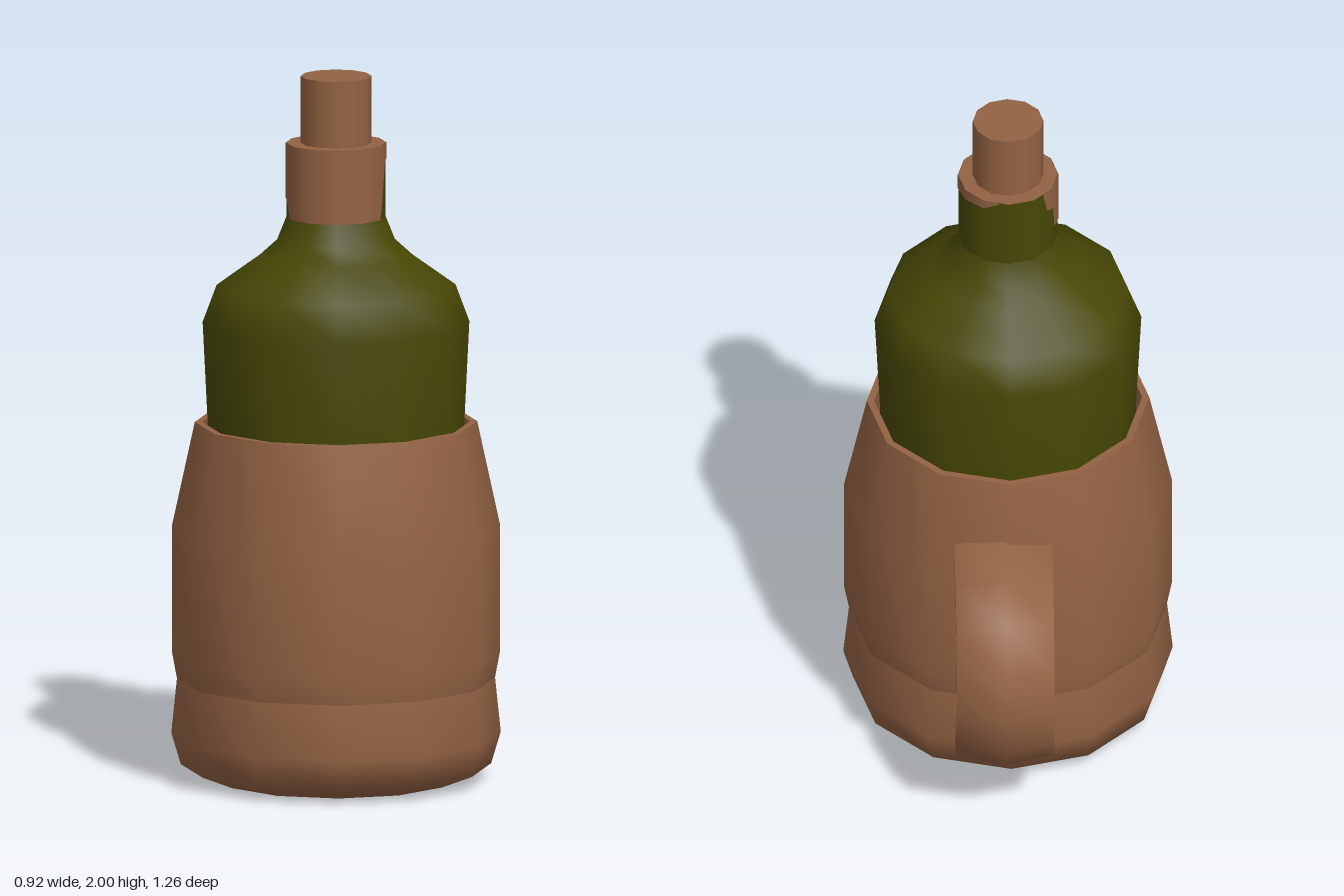
import * as THREE from 'three';
import { mergeGeometries } from 'three/addons/utils/BufferGeometryUtils.js';

const SIDES = 12;
const AXIS_Z = 0.165;

const clay = new THREE.MeshStandardMaterial({ color: 0x936243 });
clay.name = 'clay brown';
const glass = new THREE.MeshStandardMaterial({ color: 0x474705 });
glass.name = 'olive glass';
const paper = new THREE.MeshStandardMaterial({ color: 0x936243, side: THREE.DoubleSide });
paper.name = 'neck wrap brown';

// Turned shape; each profile run is smooth, with a hard edge between runs
function turned(...runs) {
  return mergeGeometries(runs.map((run) =>
    new THREE.LatheGeometry(run.map(([r, y]) => new THREE.Vector2(r, y)), SIDES)));
}

// Wrap lying just outside the 12-sided neck, with a ragged lower edge
function neckWrap(edge, radius, top) {
  const pos = [], nor = [], idx = [];
  const first = edge[0][0], last = edge[edge.length - 1][0];
  let k = 0;
  for (let a = first; a <= last; a += 2) {
    while (k < edge.length - 2 && a > edge[k + 1][0]) k++;
    const [a0, y0] = edge[k], [a1, y1] = edge[k + 1];
    const low = y0 + (y1 - y0) * (a - a0) / (a1 - a0);
    const rad = THREE.MathUtils.degToRad(a);
    const off = THREE.MathUtils.degToRad(((a % 30) + 30) % 30 - 15);
    const r = radius * Math.cos(Math.PI / SIDES) / Math.cos(off);
    for (const y of [low, top]) {
      pos.push(r * Math.sin(rad), y, r * Math.cos(rad));
      nor.push(Math.sin(rad), 0, Math.cos(rad));
    }
    const n = pos.length / 3;
    if (n > 2) idx.push(n - 4, n - 2, n - 3, n - 2, n - 1, n - 3);
  }
  const g = new THREE.BufferGeometry();
  g.setAttribute('position', new THREE.Float32BufferAttribute(pos, 3));
  g.setAttribute('normal', new THREE.Float32BufferAttribute(nor, 3));
  g.setIndex(idx);
  return g;
}

// Broad hexagonal section swept along an arc behind the mug
function handleGeometry() {
  const pos = [], idx = [];
  const rings = 9, n = 6;
  for (let i = 0; i < rings; i++) {
    const a = THREE.MathUtils.degToRad(92 - 23.5 * i);
    // The two ends reach a little into the mug wall
    const z0 = i === 0 || i === rings - 1 ? -0.25 : -0.285;
    for (let j = 0; j < n; j++) {
      const t = j / n * Math.PI * 2;
      const r = 0.285 + 0.06 * Math.cos(t);
      pos.push(0.022 + 0.158 * Math.sin(t), 0.497 + r * Math.sin(a), z0 - r * Math.cos(a));
    }
  }
  for (let i = 0; i < rings - 1; i++) {
    for (let j = 0; j < n; j++) {
      const a = i * n + j, b = i * n + (j + 1) % n, c = a + n, d = b + n;
      idx.push(a, b, c, b, d, c);
    }
  }
  // End caps on their own vertices
  for (const [ring, flip] of [[0, true], [rings - 1, false]]) {
    const base = pos.length / 3;
    for (let j = 0; j < n * 3; j++) pos.push(pos[ring * n * 3 + j]);
    for (let j = 1; j < n - 1; j++) {
      idx.push(base, base + (flip ? j + 1 : j), base + (flip ? j : j + 1));
    }
  }
  const g = new THREE.BufferGeometry();
  g.setAttribute('position', new THREE.Float32BufferAttribute(pos, 3));
  g.setIndex(idx);
  g.computeVertexNormals();
  return g;
}

export function createModel() {
  const model = new THREE.Group();
  model.name = 'bottleInMug';
  const add = (name, geometry, material, z = 0) => {
    const mesh = new THREE.Mesh(geometry, material);
    mesh.name = name;
    mesh.position.z = z;
    model.add(mesh);
  };

  // Mug with waisted foot, tapered top and thin rim
  add('mug', turned(
    [[0, 0.002], [0.34, 0.002], [0.435, 0.04], [0.462, 0.13], [0.446, 0.285]],
    [[0.446, 0.285], [0.46, 0.36], [0.46, 0.72], [0.396, 1.015]],
    [[0.396, 1.015], [0.376, 1.015]],
    [[0.376, 1.015], [0.37, 0.8]],
  ), clay, AXIS_Z);
  add('handle', handleGeometry(), clay);

  // Bottle standing in the mug
  add('bottle', turned(
    [[0, 0.06], [0.33, 0.06]],
    [[0.33, 0.06], [0.36, 1.015], [0.374, 1.3], [0.335, 1.405], [0.215, 1.49], [0.165, 1.535], [0.139, 1.6]],
    [[0.139, 1.6], [0.139, 1.81]],
  ), glass, AXIS_Z);
  add('bottleLip', turned([[0.14, 1.81], [0, 1.81]]), clay, AXIS_Z);

  // Ragged wrap: angle from the front in degrees, height of lower edge
  const edge = [[-134, 1.8], [-128, 1.745], [-114, 1.735], [-110, 1.66], [-86, 1.65], [-74, 1.6],
    [62, 1.6], [72, 1.65], [84, 1.76], [112, 1.775], [150, 1.785], [168, 1.805]];
  add('neckWrap', neckWrap(edge, 0.141, 1.81), paper, AXIS_Z);

  // Stopper
  const cork = new THREE.CylinderGeometry(0.099, 0.099, 0.2, SIDES);
  cork.translate(0, 1.9, 0);
  add('stopper', cork, clay, AXIS_Z);

  // Green patches on the underside
  const patches = [
    [[-0.08, 0.29], [0.11, 0.29], [0.08, 0.21], [0.03, 0.1], [-0.04, 0.19]],
    [[-0.29, 0.08], [-0.18, 0.03], [-0.28, 0]],
    [[0.15, 0.06], [0.21, 0.15], [0.28, 0.13], [0.27, 0.07]],
    [[-0.22, -0.23], [-0.09, -0.07], [0.0, -0.07], [0.08, -0.28], [-0.03, -0.33]],
  ];
  const shapes = patches.map((p) => new THREE.Shape(p.map(([x, y]) => new THREE.Vector2(x, y))));
  const spots = new THREE.ShapeGeometry(shapes);
  spots.rotateX(Math.PI / 2).rotateY(Math.PI * 0.75);
  add('basePatches', spots, glass, AXIS_Z);

  return model;
}
